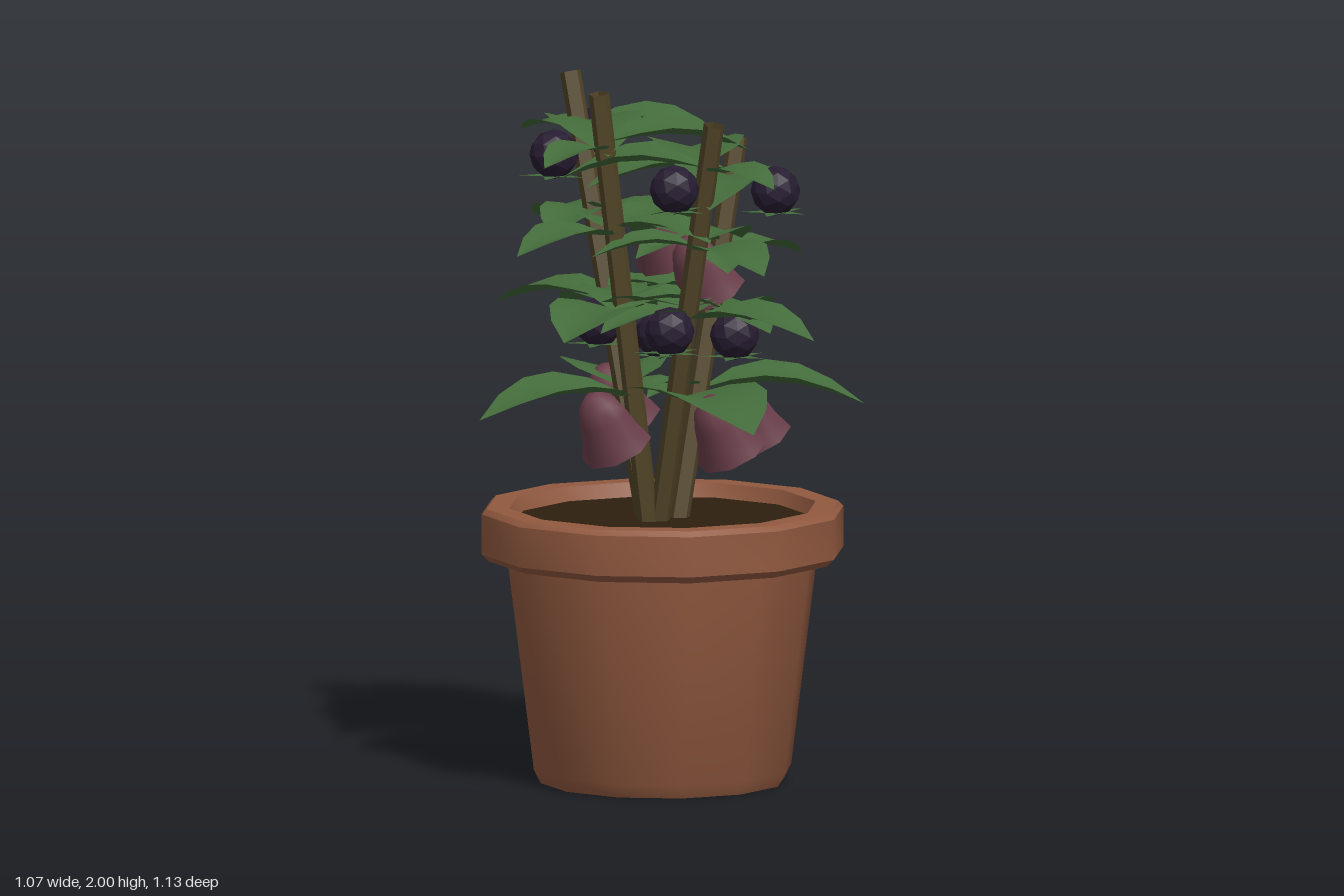
import * as THREE from 'three';
import { toCreasedNormals } from 'three/addons/utils/BufferGeometryUtils.js';

const V = (x, y, z) => new THREE.Vector3(x, y, z);

function material(name, color, options = {}) {
  const m = new THREE.MeshStandardMaterial({ color, ...options });
  m.name = name;
  return m;
}

function lathe(points, sides, crease) {
  const g = new THREE.LatheGeometry(points.map(([r, y]) => new THREE.Vector2(r, y)), sides);
  return toCreasedNormals(g, crease);
}

// Arched, pointed leaf growing along +x, one unit long, its halves folded up from the midrib
function leafGeometry() {
  const g = new THREE.PlaneGeometry(1, 1, 4, 5);
  const p = g.attributes.position;
  for (let i = 0; i < p.count; i++) {
    const across = p.getX(i) * 2;
    const t = 0.5 - p.getY(i);
    const half = 0.33 * Math.pow(Math.sin(Math.PI * Math.pow(t, 0.85)), 0.8) || 0;
    const arch = 0.1 * Math.sin(Math.PI * t) - 0.09 * t * t;
    p.setXYZ(i, t, arch + 0.26 * half * (Math.abs(across) - 0.4), -across * half);
  }
  g.computeVertexNormals();
  return g;
}

// Flat five-pointed calyx
function calyxGeometry() {
  const s = new THREE.Shape();
  for (let i = 0; i < 10; i++) {
    const r = i % 2 ? 0.04 : 0.1;
    const a = (i / 10) * Math.PI * 2;
    s[i ? 'lineTo' : 'moveTo'](r * Math.cos(a), r * Math.sin(a));
  }
  return new THREE.ShapeGeometry(s).rotateX(-Math.PI / 2);
}

export function createModel() {
  const model = new THREE.Group();
  const terracotta = material('terracotta', 0x91593f);
  const earth = material('earth', 0x2d1f0e);
  const bark = material('bark', 0x544729, { flatShading: true, side: THREE.DoubleSide });
  const green = material('leaf green', 0x446c3b, { side: THREE.DoubleSide });
  const mauve = material('mauve', 0x6a3d49, { side: THREE.DoubleSide });
  const plum = material('dark plum', 0x271c31, { flatShading: true });

  const add = (name, geometry, mat, parent = model) => {
    const mesh = new THREE.Mesh(geometry, mat);
    mesh.name = name;
    parent.add(mesh);
    return mesh;
  };

  // Pot with a heavy rim, and the soil inside
  const pot = lathe([[0, 0], [0.35, 0], [0.37, 0.04], [0.445, 0.64], [0.5, 0.64], [0.52, 0.66],
    [0.52, 0.775], [0.505, 0.79], [0.44, 0.79], [0.41, 0.72]], 12, 0.6);
  add('pot', pot, terracotta).position.x = 0.02;
  const soil = add('soil', new THREE.CircleGeometry(0.425, 12).rotateX(-Math.PI / 2), earth);
  soil.position.set(0.02, 0.75, 0);

  // Four leaning stems; out is the outward heading, twist turns the lowest leaf,
  // reach scales the other outer leaves and drop lowers the higher ones
  const stems = [
    { name: 'leftStem', base: V(0.08, 0.74, 0), top: V(0.295, 1.82, 0), out: 0, twist: 0.69, drop: 0.13, reach: 0.87 },
    { name: 'frontStem', base: V(0, 0.74, 0.01), top: V(-0.035, 1.92, 0.3), out: 0.5, twist: 0.2, drop: 0.05, reach: 1.02 },
    { name: 'rightStem', base: V(-0.03, 0.74, 0), top: V(-0.225, 1.995, 0.015), out: 1, twist: 0.32, drop: 0, reach: 1.03 },
    { name: 'backStem', base: V(0.01, 0.74, -0.06), top: V(-0.02, 1.995, -0.365), out: 1.5, twist: 0.54, drop: 0, reach: 0.91 },
  ];
  // Leaf tiers: height, heading offset, outward length, inward length, inward turns
  const tiers = [
    [1.11, 0, 0.47, 0.2, [2.4]],
    [1.36, -0.45, 0.39, 0.3, [2.1, -2.1, 3.1]],
    [1.58, 0.08, 0.33, 0.3, [2.1, -2.1, 3.1]],
    [1.83, -0.15, 0.25, 0.42, [2.55, -2.5]],
  ];
  const leaf = leafGeometry();
  for (const { name, base, top, out, twist, drop, reach } of stems) {
    const axis = top.clone().sub(base);
    const stem = add(name, new THREE.CylinderGeometry(0.031, 0.031, axis.length(), 5, 1, true), bark);
    stem.position.copy(base).addScaledVector(axis, 0.5);
    stem.quaternion.setFromUnitVectors(V(0, 1, 0), axis.clone().normalize());

    tiers.forEach(([height, offset, outward, inward, turns], tier) => {
      const y = height - drop * tier / 3;
      const node = base.clone().addScaledVector(axis, (y - base.y) / axis.y);
      const heading = out * Math.PI + (tier ? offset : twist);
      [0, ...turns].forEach((turn, i) => {
        const length = i ? inward : outward * (tier ? reach : 1);
        const mesh = add('leaf', leaf, green);
        mesh.position.copy(node);
        mesh.position.y += i * 0.012;
        mesh.rotation.y = -(heading + turn);
        mesh.scale.setScalar(length);
      });
    });
  }

  // Berries, each sitting on a calyx
  const berryShape = new THREE.IcosahedronGeometry(0.071, 1);
  const calyx = calyxGeometry();
  const berries = [
    [-0.275, 1.81, -0.125], [0.12, 1.81, -0.4], [0.315, 1.68, 0.145], [-0.185, 1.75, 0.305],
    [-0.1, 1.32, 0.18], [0.145, 1.285, 0.17], [0.14, 1.25, -0.16], [-0.1, 1.31, -0.14],
  ];
  for (const [x, y, z] of berries) {
    const group = new THREE.Group();
    group.name = 'berryCluster';
    group.position.set(x, y, z);
    add('berry', berryShape, plum, group);
    add('calyx', calyx, green, group).position.y = -0.06;
    model.add(group);
  }

  // Hanging bell flowers, all nodding the same way
  const bell = lathe([[0.105, -0.185], [0.083, -0.13], [0.072, -0.08], [0.055, -0.03], [0.025, 0], [0, 0.003]], 8, 0.9);
  const flowers = [
    [-0.235, 1.13, 0], [-0.03, 1.13, 0.265], [0.275, 1.11, 0], [0.03, 1.15, -0.285],
    [0.05, 1.56, 0.07], [0.06, 1.64, -0.12],
  ];
  for (const [x, y, z] of flowers) {
    const flower = add('bellFlower', bell, mauve);
    flower.position.set(x, y, z);
    flower.rotation.z = 0.5;
  }
  return model;
}
